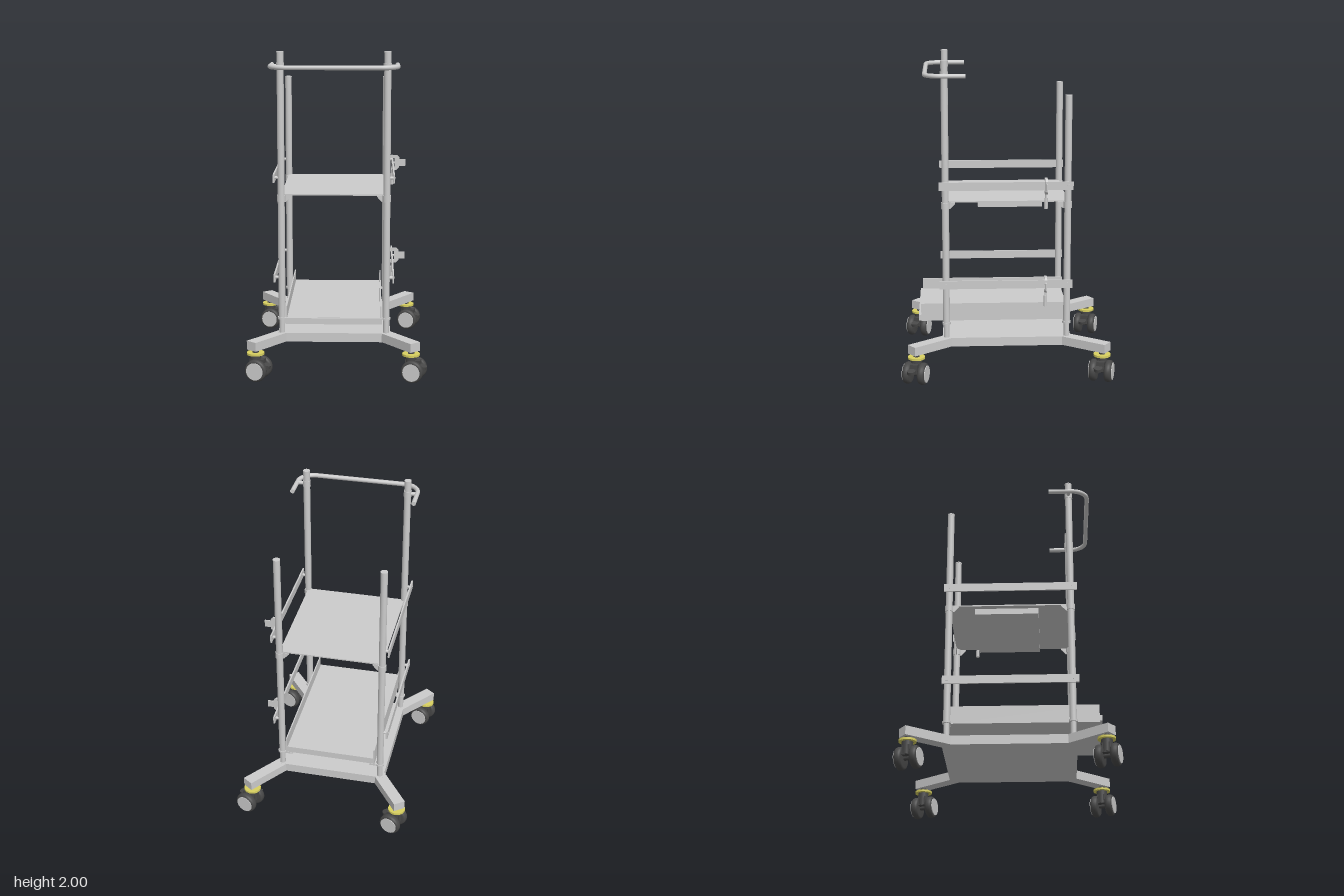
import * as THREE from 'three';

const grey = new THREE.MeshStandardMaterial({ color: 0xcccccc });
const dark = new THREE.MeshStandardMaterial({ color: 0x484848 });
const yellow = new THREE.MeshStandardMaterial({ color: 0xd8d060 });

const CX = -0.023, CZ = -0.005; // centre of the frame
const POST_X = [-0.348, 0.302], FRONT_Z = 0.377, BACK_Z = -0.384;

function add(parent, name, geo, x, y, z, mat = grey) {
  const m = new THREE.Mesh(geo, mat);
  m.name = name;
  m.position.set(x, y, z);
  parent.add(m);
  return m;
}

// box given by its limits on each axis
function box(parent, name, x0, x1, y0, y1, z0, z1, mat) {
  return add(parent, name, new THREE.BoxGeometry(x1 - x0, y1 - y0, z1 - z0),
    (x0 + x1) / 2, (y0 + y1) / 2, (z0 + z1) / 2, mat);
}

// upright cylinder from y0 to y1
function rod(parent, name, r, y0, y1, x, z, mat) {
  return add(parent, name, new THREE.CylinderGeometry(r, r, y1 - y0, 24), x, (y0 + y1) / 2, z, mat);
}

// cylinder lying along x
function pin(parent, name, r, x0, x1, y, z) {
  const m = add(parent, name, new THREE.CylinderGeometry(r, r, x1 - x0, 16), (x0 + x1) / 2, y, z);
  m.rotation.z = Math.PI / 2;
  return m;
}

function createCaster() {
  const g = new THREE.Group();
  g.name = 'caster';
  rod(g, 'casterStem', 0.02, 0.1, 0.2, 0, 0, dark);
  rod(g, 'casterRing', 0.054, 0.16, 0.173, 0, 0, yellow);
  rod(g, 'casterNeck', 0.034, 0.08, 0.16, 0, 0, dark);

  // twin wheels, housing and brake pedal share the swivel angle
  const swivel = new THREE.Group();
  swivel.name = 'casterSwivel';
  swivel.rotation.y = -0.3;
  g.add(swivel);
  const tyre = [[0, -0.023], [0.056, -0.023], [0.066, -0.016], [0.069, -0.006],
    [0.069, 0.006], [0.066, 0.016], [0.056, 0.023], [0, 0.023]].map(p => new THREE.Vector2(...p));
  for (const s of [-1, 1]) {
    const wheel = add(swivel, 'wheel', new THREE.LatheGeometry(tyre, 32), 0.02, 0.07, s * 0.048, dark);
    wheel.rotation.x = Math.PI / 2;
    const hub = add(swivel, 'wheelCover', new THREE.CylinderGeometry(0.054, 0.054, 0.006, 32), 0.02, 0.07, s * 0.072);
    hub.rotation.x = Math.PI / 2;
  }
  const axle = add(swivel, 'axle', new THREE.CylinderGeometry(0.015, 0.015, 0.1, 16), 0.02, 0.07, 0, dark);
  axle.rotation.x = Math.PI / 2;
  box(swivel, 'housing', -0.03, 0.06, 0.075, 0.135, -0.024, 0.024, dark);
  const pedal = rod(swivel, 'brakePedal', 0.027, 0.085, 0.105, 0.075, 0.01, dark);
  pedal.rotation.z = -0.25;
  return g;
}

// rail clamp with side plate and hanging lever
function createClamp() {
  const g = new THREE.Group();
  g.name = 'railClamp';
  const s = new THREE.Shape([[0.325, 0.05], [0.375, 0.05], [0.39, 0.035], [0.39, -0.03], [0.37, -0.05],
    [0.335, -0.05], [0.335, -0.03], [0.36, -0.03], [0.36, 0.03], [0.325, 0.03]].map(p => new THREE.Vector2(...p)));
  add(g, 'clampBody', new THREE.ExtrudeGeometry(s, { depth: 0.016, bevelEnabled: false }), 0, 0, -0.008);
  box(g, 'clampPlate', 0.385, 0.43, -0.023, 0.023, -0.004, 0.004);
  pin(g, 'clampScrew', 0.008, 0.345, 0.39, 0, 0);
  rod(g, 'clampLever', 0.011, -0.145, -0.075, 0.343, 0);
  rod(g, 'leverNeck', 0.006, -0.08, -0.03, 0.343, 0);
  return g;
}

export function createModel() {
  const root = new THREE.Group();
  root.name = 'trolley';

  // base and splayed legs with casters
  box(root, 'base', -0.373, 0.328, 0.19, 0.247, -0.41, 0.40);
  for (const sx of [-1, 1]) for (const sz of [-1, 1]) {
    const px = CX + sx * 0.477, pz = -0.015 + sz * 0.581;
    const ix = CX + sx * 0.315, iz = CZ + sz * 0.365;
    const dx = px - ix, dz = pz - iz, d = Math.hypot(dx, dz), len = d + 0.038;
    const leg = add(root, 'leg', new THREE.BoxGeometry(0.075, 0.056, len),
      ix + dx / d * len / 2, 0.2185, iz + dz / d * len / 2);
    leg.rotation.y = Math.atan2(dx, dz);
    const caster = createCaster();
    caster.position.set(px, 0, pz);
    root.add(caster);
  }

  // posts with collars and corner brackets
  const gusset = new THREE.Shape([[0, 0], [0.06, 0], [0.06, -0.008], [0.03, -0.04], [0, -0.04]]
    .map(p => new THREE.Vector2(...p)));
  const gussetGeo = new THREE.ExtrudeGeometry(gusset, { depth: 0.006, bevelEnabled: false });
  POST_X.forEach((x, i) => {
    const inward = i ? -1 : 1;
    for (const [z, top, dir] of [[FRONT_Z, 2, -1], [BACK_Z, 1.785, 1]]) {
      rod(root, 'postFoot', 0.018, 0.24, 0.34, x, z);
      rod(root, 'post', 0.0215, 0.335, top - 0.008, x, z);
      rod(root, 'postCap', 0.0225, top - 0.008, top, x, z);
      rod(root, 'lowerCollar', 0.027, 0.332, 0.345, x, z);
      rod(root, 'shelfCollar', 0.026, 1.08, 1.12, x, z);
      box(root, 'trayBracket', Math.min(x, x + inward * 0.07), Math.max(x, x + inward * 0.07),
        0.335, 0.345, z - 0.02, z + 0.02);
      // one gusset along x and one along z
      const a = add(root, 'shelfBracket', gussetGeo, x, 1.118, z - 0.003);
      if (inward < 0) { a.rotation.y = Math.PI; a.position.z = z + 0.003; }
      const b = add(root, 'shelfBracket', gussetGeo, x - 0.003 * -dir, 1.118, z);
      b.rotation.y = -dir * Math.PI / 2;
    }
  });

  // upper shelf with box underneath
  box(root, 'shelf', -0.348, 0.302, 1.118, 1.126, BACK_Z, FRONT_Z);
  box(root, 'shelfUnderBox', -0.31, 0.265, 1.08, 1.12, -0.225, 0.175);

  // lower pull-out tray, open at the front
  box(root, 'trayFloor', -0.31, 0.268, 0.345, 0.387, -0.4, 0.54);
  box(root, 'trayFrontLip', -0.322, 0.276, 0.35, 0.386, 0.538, 0.552);
  for (const x of [-0.314, 0.264]) box(root, 'traySide', x, x + 0.008, 0.345, 0.458, -0.407, 0.537);

  // side rails, their fixings and the clamps
  for (const y of [0.6, 1.228]) {
    for (const [x, s] of [[-0.391, -1], [0.345, 1]]) {
      box(root, 'sideRail', x - 0.005, x + 0.005, y - 0.026, y + 0.026, -0.415, 0.418);
      for (const z of [FRONT_Z, BACK_Z]) {
        const p = POST_X[s < 0 ? 0 : 1];
        pin(root, 'railSpacer', 0.01, Math.min(x, p), Math.max(x, p), y, z);
        pin(root, 'railBolt', 0.008, x - 0.008, x + 0.008, y, z);
      }
    }
    const clamp = createClamp();
    clamp.position.set(0, y, -0.245);
    root.add(clamp);
  }

  // push handle: U-shaped tube with rounded corners
  const path = new THREE.CurvePath();
  const v = (x, z) => new THREE.Vector3(x, 1.91, z);
  const L = -0.407, R = 0.364, F = 0.497, c = 0.1, k = 0.045;
  path.add(new THREE.LineCurve3(v(L, 0.25), v(L, F - c)));
  path.add(new THREE.CubicBezierCurve3(v(L, F - c), v(L, F - k), v(L + k, F), v(L + c, F)));
  path.add(new THREE.LineCurve3(v(L + c, F), v(R - c, F)));
  path.add(new THREE.CubicBezierCurve3(v(R - c, F), v(R - k, F), v(R, F - k), v(R, F - c)));
  path.add(new THREE.LineCurve3(v(R, F - c), v(R, 0.25)));
  add(root, 'pushHandle', new THREE.TubeGeometry(path, 120, 0.0145, 16), 0, 0, 0);
  for (const x of [L, R]) {
    const end = add(root, 'handleEnd', new THREE.CylinderGeometry(0.0145, 0.0145, 0.004, 16), x, 1.91, 0.25);
    end.rotation.x = Math.PI / 2;
  }
  pin(root, 'handleMount', 0.012, L, POST_X[0], 1.91, FRONT_Z);
  pin(root, 'handleMount', 0.012, POST_X[1], R, 1.91, FRONT_Z);
  for (const x of POST_X) rod(root, 'handleCollar', 0.025, 1.89, 1.93, x, FRONT_Z);

  return root;
}
